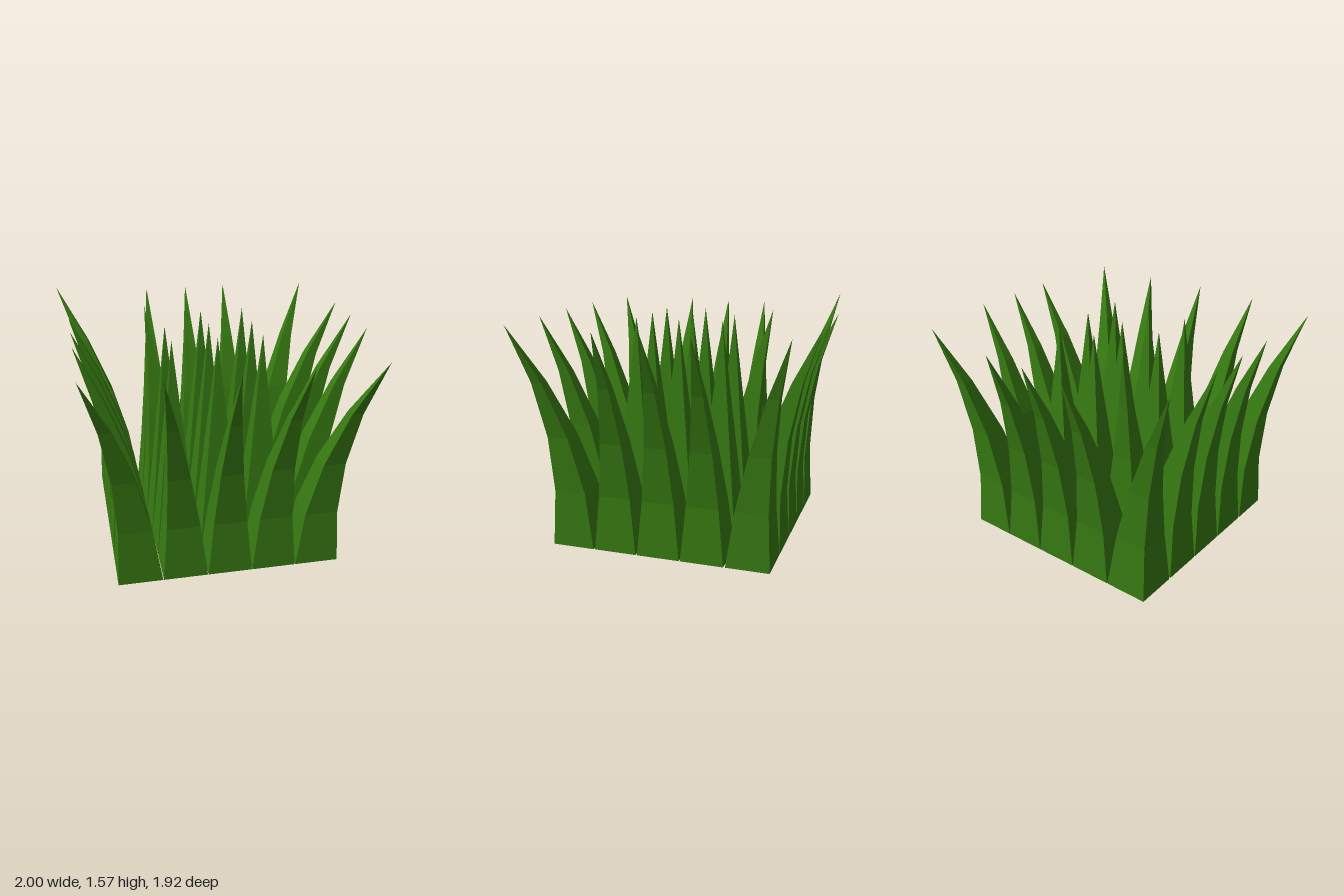
import * as THREE from 'three';

const BASE_X = 0.295, BASE_Z = 0.288, HEIGHT = 1.5;
const COLUMNS = [-0.612, -0.312, -0.012, 0.287, 0.587];
const ROWS = [-0.606, -0.305, -0.008, 0.291, 0.591];

// Tip positions [x, z, height] of the leaning blades, row by row from the back;
// null is an upright blade.
const TIPS = [
  [[-1, -0.88, 1.565], [-0.315, -0.965], [-0.012, -0.965], [0.287, -0.965], [0.888, -0.875]],
  [[-0.935, -0.3], [-0.39, -0.49], null, null, [0.995, -0.32]],
  [[-0.935, -0.008], null, null, null, [0.995, -0.01]],
  [[-0.935, 0.293], null, null, null, [0.995, 0.293]],
  [[-0.935, 0.87], [-0.455, 0.96], [-0.008, 0.96], [0.435, 0.935], [0.9, 0.925]],
];

// Square tapering blade whose centre line bends outwards as a parabola
function bladeGeometry(leanX, leanZ, height) {
  const geo = new THREE.ConeGeometry(Math.SQRT1_2, height, 4, 4);
  geo.rotateY(Math.PI / 4);
  geo.scale(BASE_X, 1, BASE_Z);
  geo.translate(0, height / 2, 0);
  const p = geo.attributes.position;
  for (let i = 0; i < p.count; i++) {
    const t = p.getY(i) / height;
    p.setX(i, p.getX(i) + leanX * t * t);
    p.setZ(i, p.getZ(i) + leanZ * t * t);
  }
  geo.computeVertexNormals();
  return geo;
}

export function createModel() {
  const group = new THREE.Group();
  group.name = 'grassTuft';
  const green = new THREE.MeshStandardMaterial({ color: 0x377a12, flatShading: true });

  // Five by five grid of blades
  ROWS.forEach((z, r) => COLUMNS.forEach((x, c) => {
    const [tipX, tipZ, height = HEIGHT] = TIPS[r][c] ?? [x, z];
    const blade = new THREE.Mesh(bladeGeometry(tipX - x, tipZ - z, height), green);
    blade.name = `grassBlade_${r + 1}_${c + 1}`;
    blade.position.set(x, 0, z);
    group.add(blade);
  }));
  return group;
}
